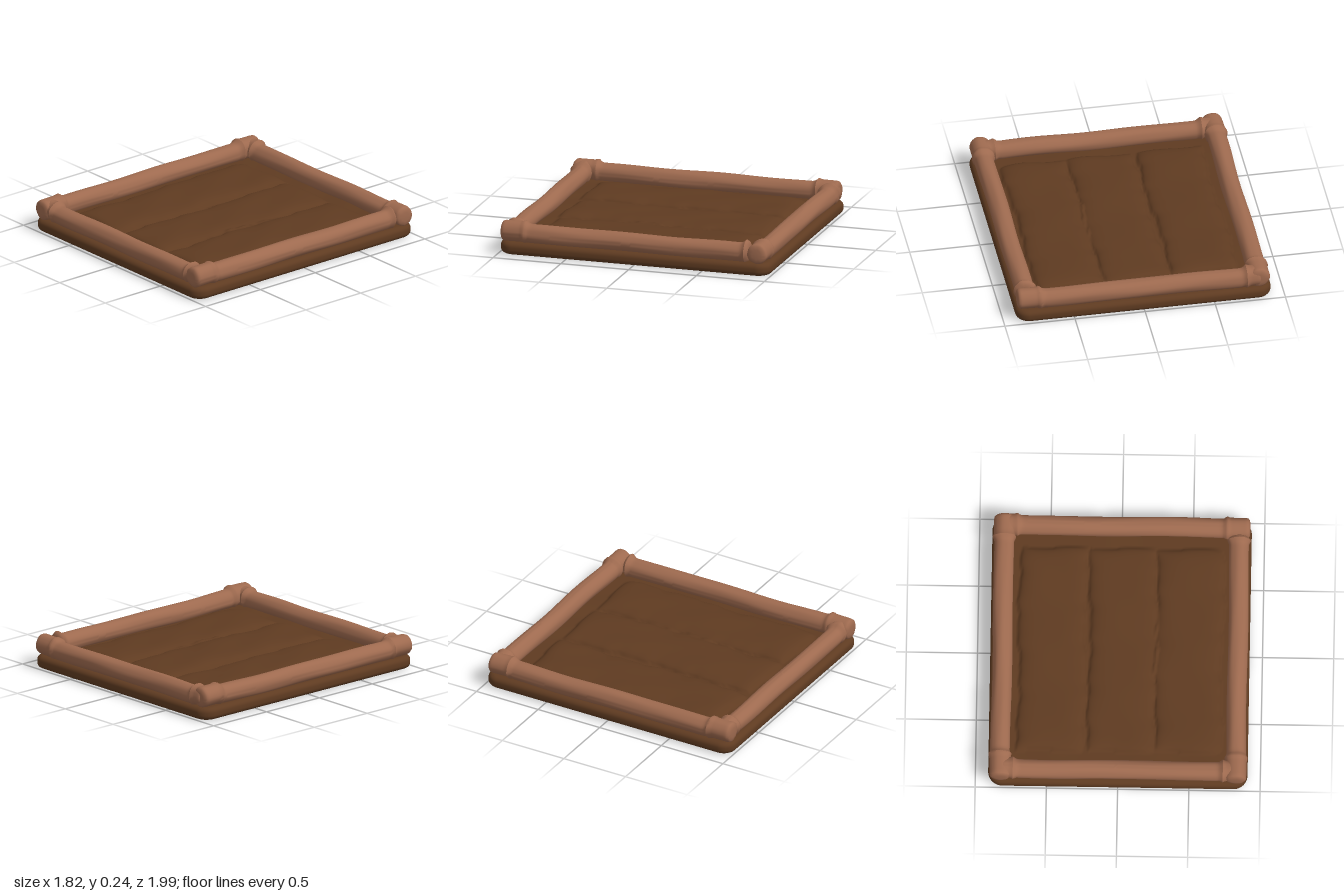
import * as THREE from 'three';
import { mergeVertices, toCreasedNormals } from 'three/addons/utils/BufferGeometryUtils.js';

const wood = new THREE.MeshStandardMaterial({ color: 0x9e6a4f });
wood.name = 'warm wood';
const earth = new THREE.MeshStandardMaterial({ color: 0x5f3b21 });
earth.name = 'dark earth';

const smooth = THREE.MathUtils.smoothstep;

// Weld a geometry so that displaced surfaces shade smoothly
function weld(geo) {
  geo.deleteAttribute('uv');
  geo.deleteAttribute('normal');
  return mergeVertices(geo, 1e-4);
}

function displace(geo, rule) {
  const p = geo.attributes.position;
  const v = new THREE.Vector3();
  for (let i = 0; i < p.count; i++) {
    v.fromBufferAttribute(p, i);
    rule(v);
    p.setXYZ(i, v.x, v.y, v.z);
  }
  geo.computeVertexNormals();
  return geo;
}

// A log along x or z from a to b, with a raised ring near each end and a thicker, lifted stub beyond it
function addLog(group, name, along, a, b, radius, ring, position, seed) {
  const pts = [new THREE.Vector2(0, a), new THREE.Vector2(radius * 0.5, a), new THREE.Vector2(radius * 0.85, a + 0.004)];
  const n = 130;
  for (let i = 0; i <= n; i++) {
    const l = a + 0.014 + (b - a - 0.028) * i / n;
    const r = radius + 0.011 * Math.exp(-(((Math.abs(l) - ring) / 0.014) ** 2)) + 0.005 * smooth(Math.abs(l), ring - 0.02, ring + 0.02);
    pts.push(new THREE.Vector2(i === 0 || i === n ? r * 0.96 : r, l));
  }
  pts.push(new THREE.Vector2(radius * 0.85, b - 0.004), new THREE.Vector2(radius * 0.5, b), new THREE.Vector2(0, b));
  const geo = weld(new THREE.LatheGeometry(pts, 30));
  if (along === 'x') geo.rotateZ(-Math.PI / 2);
  else geo.rotateX(Math.PI / 2);
  const side = along === 'x' ? 'z' : 'x';

  // Uneven bark and a slight sag between the ends
  displace(geo, (v) => {
    const l = v[along];
    const t = Math.atan2(v.y, v[side]);
    const k = 1 + 0.018 * Math.sin(3 * t + 4 * l + seed) + 0.014 * Math.sin(5 * t - 7 * l + seed * 2) + 0.008 * Math.sin(9 * t + 3 * l);
    v.y = v.y * k + 0.013 * smooth(Math.abs(l), ring - 0.05, ring + 0.02) + 0.002 * Math.sin(9 * l + seed);
    v[side] = v[side] * k + 0.003 * Math.sin(6 * l + seed * 3);
  });
  const mesh = new THREE.Mesh(toCreasedNormals(geo, 0.8), wood);
  mesh.name = name;
  mesh.position.set(...position);
  group.add(mesh);
}

function roundedRect(w, d, r) {
  const s = new THREE.Shape();
  s.absarc(w - r, d - r, r, 0, Math.PI / 2);
  s.absarc(-w + r, d - r, r, Math.PI / 2, Math.PI);
  s.absarc(-w + r, -d + r, r, Math.PI, Math.PI * 1.5);
  s.absarc(w - r, -d + r, r, Math.PI * 1.5, Math.PI * 2);
  s.closePath();
  return s;
}

// Height of the tilled soil: three long rounded mounds with wandering furrows
function soilHeight(x, z) {
  let h = 0.1;
  [-0.475, 0.02, 0.485].forEach((cx, i) => {
    const wander = 0.01 * Math.sin(6 * z + i * 2) + 0.006 * Math.sin(21 * z + i) + 0.003 * Math.sin(41 * z + 2 * i);
    const u = Math.min(Math.abs(x - cx - wander) / 0.235, 1);
    const w = Math.min(Math.abs(z) / (0.76 + 0.01 * Math.sin(14 * x)), 1);
    h += 0.042 * Math.sqrt((1 - u ** 4) * (1 - w ** 16));
  });
  return h + 0.004 * Math.sin(9 * x + 4 * z) * Math.sin(6 * z - 3 * x) + 0.002 * Math.sin(17 * x - 11 * z);
}

export function createModel() {
  const model = new THREE.Group();
  model.name = 'gardenBed';

  // Base slab with rounded rim
  const slab = new THREE.ExtrudeGeometry(roundedRect(0.87, 0.957, 0.06), {
    depth: 0.02, bevelEnabled: true, bevelThickness: 0.036, bevelSize: 0.04, bevelSegments: 6, curveSegments: 8,
  });
  slab.rotateX(-Math.PI / 2);
  slab.translate(0, 0.036, 0);
  const base = new THREE.Mesh(toCreasedNormals(slab, 0.7), earth);
  base.name = 'baseSlab';
  model.add(base);

  // Tilled soil inside the frame
  const soilGeo = new THREE.PlaneGeometry(1.62, 1.78, 150, 120).rotateX(-Math.PI / 2);
  const soil = new THREE.Mesh(displace(weld(soilGeo), (v) => { v.y = soilHeight(v.x, v.z); }), earth);
  soil.name = 'tilledSoil';
  model.add(soil);

  // Frame logs, overlapping at the corners
  addLog(model, 'leftLog', 'z', -0.84, 0.985, 0.069, 0.81, [0.826, 0.147, 0], 1);
  addLog(model, 'rightLog', 'z', -0.975, 0.985, 0.069, 0.81, [-0.826, 0.147, 0], 2.3);
  addLog(model, 'frontLog', 'x', -0.84, 0.84, 0.066, 0.735, [0, 0.144, 0.907], 3.7);
  addLog(model, 'backLog', 'x', -0.84, 0.9, 0.068, 0.735, [0, 0.145, -0.91], 5.1);

  return model;
}
